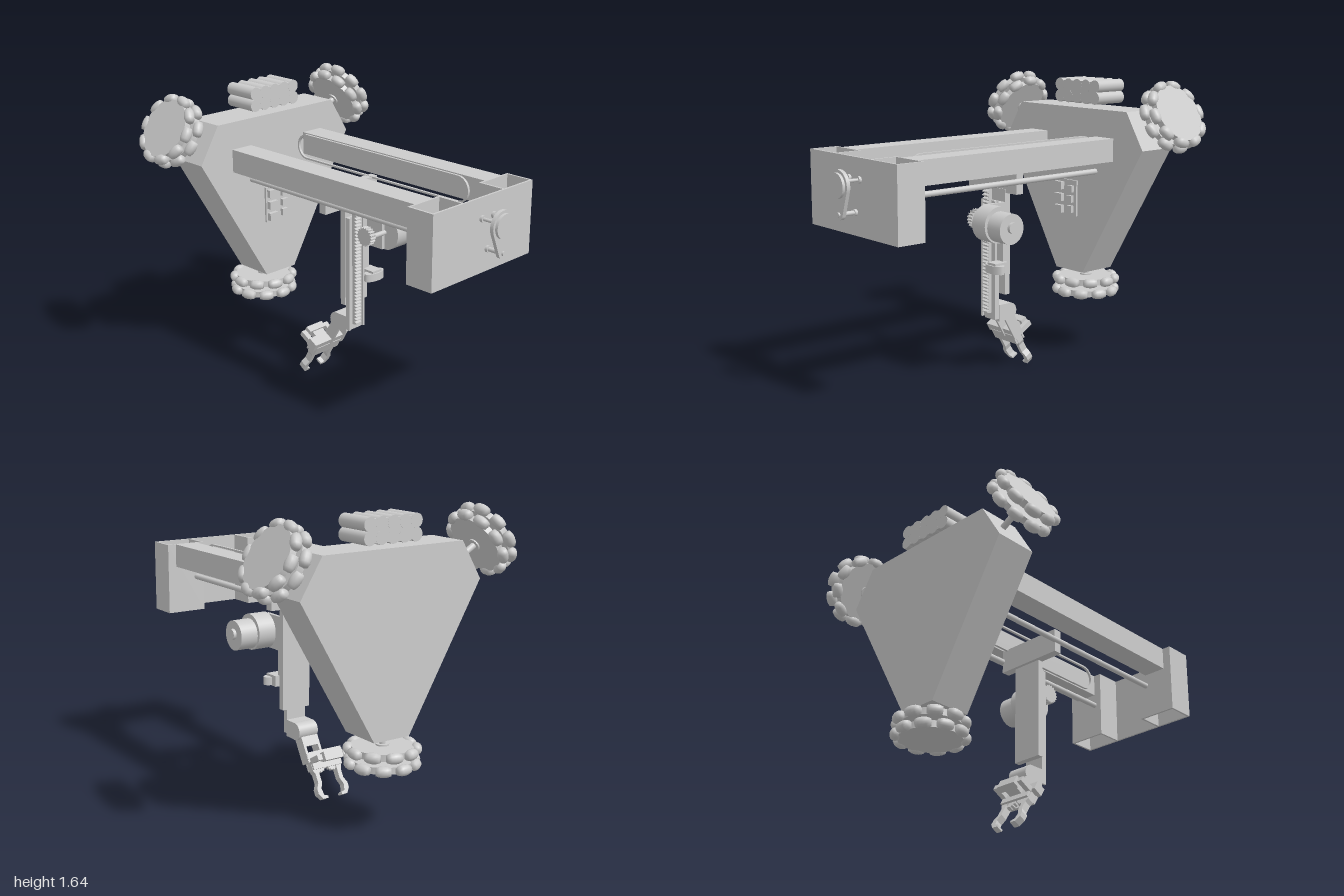
import * as THREE from 'three';

const grey = new THREE.MeshStandardMaterial({ color: 0xcccccc, side: THREE.DoubleSide });

function add(parent, name, geometry, x = 0, y = 0, z = 0) {
  const mesh = new THREE.Mesh(geometry, grey);
  mesh.name = name;
  mesh.position.set(x, y, z);
  parent.add(mesh);
  return mesh;
}

// Box given by its limits on each axis
function block(parent, name, [x0, x1], [y0, y1], [z0, z1]) {
  return add(parent, name, new THREE.BoxGeometry(x1 - x0, y1 - y0, z1 - z0),
    (x0 + x1) / 2, (y0 + y1) / 2, (z0 + z1) / 2);
}

// Cylinder along a chosen axis
function rod(parent, name, r, length, axis, x, y, z, sides = 32) {
  const g = new THREE.CylinderGeometry(r, r, length, sides);
  if (axis === 'x') g.rotateZ(Math.PI / 2);
  if (axis === 'z') g.rotateX(Math.PI / 2);
  return add(parent, name, g, x, y, z);
}

const polygon = (pts) => new THREE.Shape(pts.map(([x, y]) => new THREE.Vector2(x, y)));
const extrude = (shape, depth) =>
  new THREE.ExtrudeGeometry(shape, { depth, bevelEnabled: false, curveSegments: 20 });

// Spur gear outline
function gearShape(r, teeth) {
  const pts = [];
  for (let i = 0; i < teeth * 4; i++) {
    const a = (i / (teeth * 4)) * Math.PI * 2;
    const rr = i % 4 < 2 ? r : r * 0.86;
    pts.push([Math.cos(a) * rr, Math.sin(a) * rr]);
  }
  return polygon(pts);
}

// Two staggered rings of barrel rollers; the axle runs along y
function omniWheel(name, x, y, turn, axle) {
  const wheel = new THREE.Group();
  wheel.name = name;
  const barrel = new THREE.LatheGeometry([
    [0, -0.039], [0.02, -0.039], [0.027, -0.02], [0.029, 0],
    [0.027, 0.02], [0.02, 0.039], [0, 0.039],
  ].map(([r, h]) => new THREE.Vector2(r, h)), 14);
  const count = 10;
  for (let ring = 0; ring < 2; ring++) {
    const h = ring ? 0.034 : -0.034;
    rod(wheel, 'wheelDisc', 0.163, 0.036, 'y', 0, h, 0, 40);
    for (let i = 0; i < count; i++) {
      const a = ((i + ring / 2) / count) * Math.PI * 2;
      const roller = add(wheel, 'roller', barrel, Math.cos(a) * 0.173, h, Math.sin(a) * 0.173);
      roller.rotation.set(Math.PI / 2, 0, a);
      roller.rotation.order = 'YXZ';
      roller.rotation.set(Math.PI / 2, -a, 0);
    }
  }
  rod(wheel, 'axle', 0.017, axle, 'y', 0, -axle / 2, 0, 16);
  rod(wheel, 'hub', 0.035, 0.1, 'y', 0, -0.01, 0, 20);
  wheel.position.set(x, y, -0.785);
  wheel.rotation.z = turn;
  return wheel;
}

function buildGripper() {
  const g = new THREE.Group();
  g.name = 'gripper';
  const mid = -0.06;
  // Forked forearm
  for (const x of [-0.055, 0.037]) block(g, 'forearmProng', [x, x + 0.015], [-0.19, 0], [-0.033, 0.033]);
  block(g, 'forearmWeb', [-0.055, 0.052], [-0.1, 0], [-0.033, -0.015]);
  // Servo and base plates
  block(g, 'gripperServo', [-0.18, 0.05], [-0.185, -0.135], [-0.035, 0.025]);
  block(g, 'gripperPlate', [-0.155, 0.035], [-0.235, -0.17], [-0.04, -0.028]);
  block(g, 'gripperPlate', [-0.155, 0.035], [-0.235, -0.17], [0.016, 0.028]);
  block(g, 'servoNeck', [-0.1, -0.02], [-0.2, -0.17], [-0.09, -0.03]);
  block(g, 'servoCap', [-0.12, 0], [-0.21, -0.16], [-0.125, -0.085]);
  // Mirrored geared fingers
  for (const s of [-1, 1]) {
    add(g, 'fingerGear', extrude(gearShape(0.042, 14), 0.024), mid + s * 0.043, -0.215, -0.018);
    block(g, 'servoEar', [mid + s * 0.085 - 0.015, mid + s * 0.085 + 0.015], [-0.2, -0.17], [-0.115, -0.03]);
    const finger = polygon([
      [0.035, -0.19], [0.095, -0.19], [0.095, -0.24], [0.085, -0.26], [0.085, -0.31],
      [0.102, -0.34], [0.102, -0.37], [0.08, -0.4], [0.045, -0.4], [0.045, -0.388],
      [0.068, -0.38], [0.075, -0.345], [0.06, -0.31], [0.06, -0.24],
    ].map(([x, y]) => [mid + s * x, y]));
    add(g, 'finger', extrude(finger, 0.04), 0, 0, -0.025);
  }
  g.position.set(0, 0.36, -0.1);
  g.rotation.x = Math.PI / 6;
  return g;
}

export function createModel() {
  const model = new THREE.Group();
  model.name = 'robot';

  // Chassis slab
  const outline = polygon([[-0.43, 1.475], [-0.555, 1.27], [-0.11, 0.51], [0.11, 0.51], [0.555, 1.27], [0.43, 1.475]]);
  add(model, 'chassis', extrude(outline, 0.235), 0, 0, -0.872);

  // Three wheels around the chassis
  model.add(omniWheel('leftWheel', 0.635, 1.455, -Math.PI / 3, 0.2));
  model.add(omniWheel('rightWheel', -0.635, 1.455, Math.PI / 3, 0.2));
  model.add(omniWheel('bottomWheel', -0.01, 0.407, Math.PI, 0.14));

  // Battery pack of two rows of cells
  const battery = new THREE.Group();
  battery.name = 'battery';
  model.add(battery);
  for (let i = 0; i < 5; i++) {
    for (const y of [1.53, 1.597]) rod(battery, 'cell', 0.036, 0.205, 'z', -0.13 + i * 0.071, y, -0.768, 24);
  }
  block(battery, 'batteryCore', [-0.14, 0.164], [1.505, 1.622], [-0.87, -0.666]);

  // Electronics on the chassis front
  block(model, 'circuitBoard', [-0.11, 0.06], [0.84, 1.05], [-0.637, -0.625]);
  for (let i = 0; i < 3; i++) {
    block(model, 'connector', [-0.1, -0.04], [0.85 + i * 0.07, 0.895 + i * 0.07], [-0.63, -0.6]);
    block(model, 'connector', [0, 0.04], [0.86 + i * 0.06, 0.9 + i * 0.06], [-0.63, -0.605]);
  }

  // Rails, guide rods and front square tubes
  for (const s of [-1, 1]) {
    const side = s > 0 ? 'left' : 'right';
    const span = (a, b) => (s > 0 ? [a, b] : [-b, -a]);
    block(model, side + 'Rail', span(0.2, 0.335), [1.19, 1.32], [-0.64, 0.72]);
    rod(model, side + 'GuideRod', 0.016, 1.36, 'z', s * 0.2, 1.12, 0.04, 20);
    const tube = polygon([[0.153, 0.72], [0.385, 0.72], [0.385, 0.885], [0.153, 0.885]]);
    tube.holes.push(polygon([[0.165, 0.732], [0.165, 0.873], [0.373, 0.873], [0.373, 0.732]]));
    const g = extrude(tube, 0.4).rotateX(Math.PI / 2);
    add(model, side + 'FrontTube', g, s > 0 ? 0 : -0.538, 1.32, 0);
  }
  block(model, 'frontPlate', [-0.385, 0.385], [0.92, 1.32], [0.873, 0.885]);

  // Drive belt loop beside the left rail
  const stadium = (path, r) => {
    path.absarc(0.575, 0, r, -Math.PI / 2, Math.PI / 2);
    path.absarc(-0.565, 0, r, Math.PI / 2, Math.PI * 1.5);
    path.closePath();
    return path;
  };
  const belt = stadium(new THREE.Shape(), 0.074);
  belt.holes.push(stadium(new THREE.Path(), 0.064));
  add(model, 'belt', extrude(belt, 0.014).rotateY(-Math.PI / 2), 0.172, 1.251, 0);

  // Teardrop gearbox on the front plate
  const drop = new THREE.Shape();
  drop.absarc(0.025, 1.185, 0.08, -0.34, Math.PI + 0.34);
  drop.absarc(0.03, 1.042, 0.03, Math.PI + 0.34, Math.PI * 2 - 0.34);
  drop.closePath();
  add(model, 'gearbox', extrude(drop, 0.02), 0, 0, 0.965);
  rod(model, 'gearboxCap', 0.065, 0.02, 'z', 0.025, 1.185, 0.99);
  rod(model, 'gearboxShaft', 0.012, 0.115, 'z', 0.03, 1.04, 0.937, 16);
  for (const [x, y] of [[-0.02, 1.21], [0.07, 1.21], [0.03, 1.04]]) {
    rod(model, 'standoff', 0.009, 0.09, 'z', x, y, 0.925, 12);
    rod(model, 'standoffFoot', 0.018, 0.015, 'z', x, y, 0.892, 16);
  }

  // Sliding carriage with hanging arm plate
  block(model, 'carriage', [-0.2, 0.2], [1.05, 1.185], [-0.083, -0.035]);
  block(model, 'armPlate', [-0.06, 0.115], [0.48, 1.07], [-0.065, -0.03]);

  // Lifting rack
  block(model, 'slider', [-0.055, 0.065], [0.33, 1.0], [-0.03, -0.012]);
  for (const x of [-0.055, 0.053]) block(model, 'sliderWall', [x, x + 0.012], [0.33, 1.0], [-0.03, 0]);
  const teeth = [[-0.015, 0.36]];
  for (let y = 0.36; y < 1.06; y += 0.02) {
    teeth.push([0.005, y], [0.02, y + 0.006], [0.02, y + 0.011], [0.005, y + 0.017]);
  }
  teeth.push([-0.015, 1.075]);
  add(model, 'rack', extrude(polygon(teeth), 0.042).rotateY(-Math.PI / 2), 0.021, 0, 0);

  // Lift motor and pinion
  const pinion = extrude(gearShape(0.055, 18), 0.036).rotateY(Math.PI / 2);
  add(model, 'pinion', pinion, -0.018, 0.905, 0.077);
  rod(model, 'motorShaft', 0.014, 0.14, 'x', 0.06, 0.905, 0.105, 16);
  rod(model, 'motorGearbox', 0.1, 0.105, 'x', 0.168, 0.905, 0.105);
  rod(model, 'motorBody', 0.083, 0.105, 'x', 0.27, 0.897, 0.105);
  rod(model, 'motorEnd', 0.03, 0.02, 'x', 0.33, 0.905, 0.105, 20);
  block(model, 'motorBracket', [0.095, 0.115], [0.81, 1.0], [-0.03, 0.105]);
  block(model, 'bracketFoot', [0.03, 0.115], [0.81, 1.0], [-0.035, -0.01]);
  block(model, 'guideStrip', [0.066, 0.115], [0.65, 0.92], [-0.03, -0.015]);

  // Rounded stop block on the arm
  const stop = rod(model, 'stopBlock', 0.07, 0.045, 'y', 0.105, 0.635, 0.035);
  stop.scale.z = 0.5;
  block(model, 'stopFoot', [0.07, 0.14], [0.61, 0.67], [-0.03, 0.06]);

  // Wrist joint
  block(model, 'wristBlock', [-0.055, 0.068], [0.315, 0.41], [-0.1, -0.03]);
  rod(model, 'wristPivot', 0.049, 0.123, 'x', 0.0065, 0.362, -0.108);
  model.add(buildGripper());

  return model;
}
